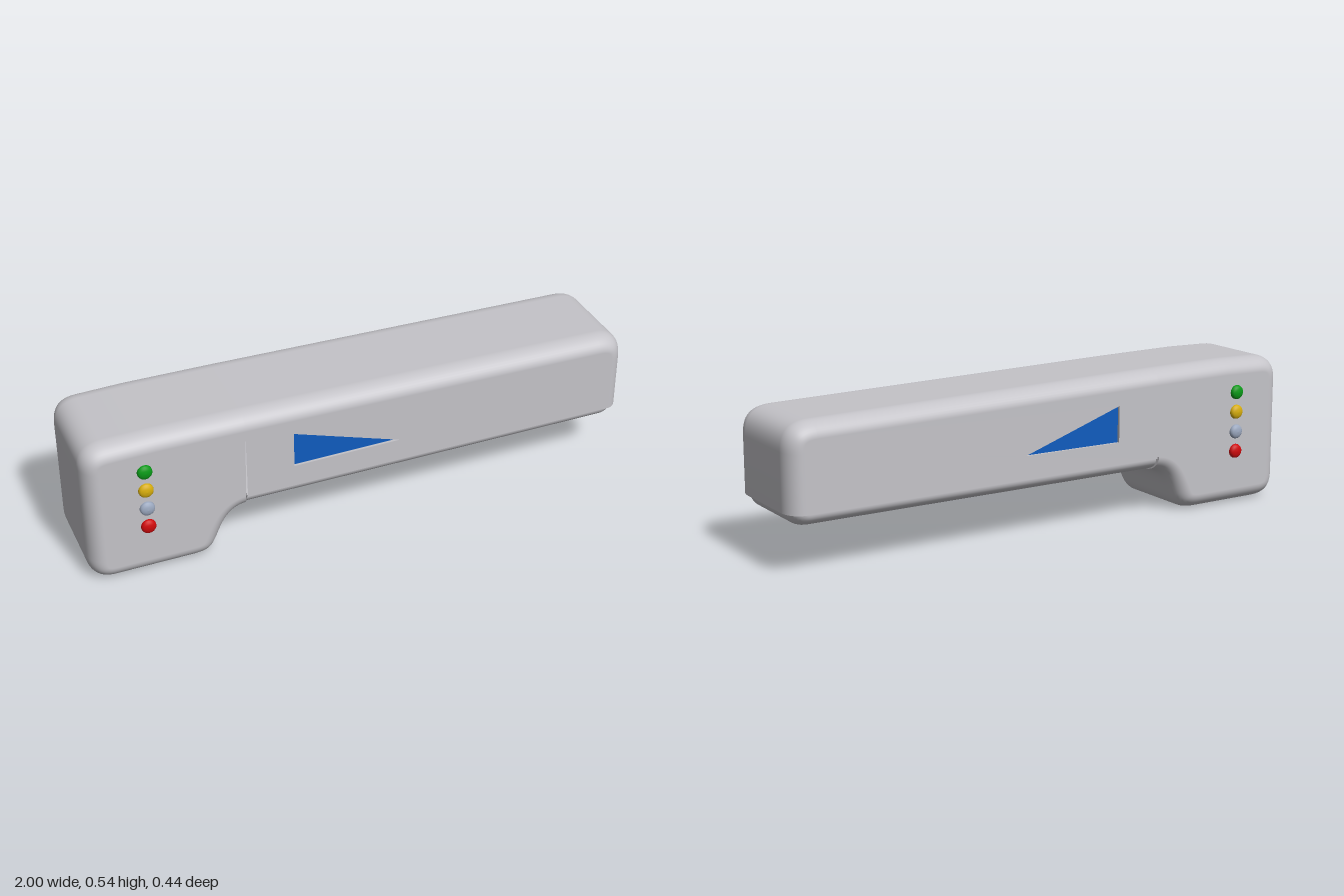
import * as THREE from 'three';

const mat = (name, color, side = THREE.FrontSide) => {
  const m = new THREE.MeshStandardMaterial({ color, side });
  m.name = name;
  return m;
};

// Offsets an open outline inwards; returns points with outward normals
function outlineNormals(points) {
  return points.map((p, i) => {
    const t = new THREE.Vector2();
    if (i > 0) t.add(p.clone().sub(points[i - 1]).normalize());
    if (i < points.length - 1) t.add(points[i + 1].clone().sub(p).normalize());
    t.normalize();
    return { p, n: new THREE.Vector2(t.y, -t.x), t };
  });
}

// Sweeps a rounded cross-section along a counter-clockwise outline, closing both ends
function sweptSkin(outline, halfZ, r, rz) {
  const pos = [], nor = [], idx = [], steps = 10, cols = 2 * steps + 2;
  const ring = ({ p, n }) => {
    const out = [];
    for (const s of [-1, 1]) for (let k = 0; k <= steps; k++) {
      const a = (s < 0 ? k - steps : k) / steps * Math.PI / 2;
      const d = r * (1 - Math.cos(a));
      const normal = new THREE.Vector3(n.x * Math.cos(a) / r, n.y * Math.cos(a) / r, Math.sin(a) / rz);
      out.push({
        v: [p.x - n.x * d, p.y - n.y * d, s * (halfZ - rz) + rz * Math.sin(a)],
        n: normal.normalize().toArray(),
      });
    }
    return out;
  };
  outline.forEach((o, i) => {
    ring(o).forEach((q) => { pos.push(...q.v); nor.push(...q.n); });
    if (i === 0) return;
    for (let j = 0; j < cols - 1; j++) {
      const a = (i - 1) * cols + j, b = i * cols + j;
      idx.push(a, b, a + 1, b, b + 1, a + 1);
    }
  });
  for (const s of [-1, 1]) {
    const o = s < 0 ? outline[0] : outline[outline.length - 1];
    const base = pos.length / 3;
    ring(o).forEach((q) => { pos.push(...q.v); nor.push(s * o.t.x, s * o.t.y, 0); });
    for (let j = 1; j < cols - 1; j++) {
      if (s < 0) idx.push(base, base + j, base + j + 1);
      else idx.push(base, base + j + 1, base + j);
    }
  }
  const g = new THREE.BufferGeometry();
  g.setAttribute('position', new THREE.Float32BufferAttribute(pos, 3));
  g.setAttribute('normal', new THREE.Float32BufferAttribute(nor, 3));
  g.setIndex(idx);
  return g;
}

// Flat face at +z or -z
function sideFace(shape, z, s) {
  const g = new THREE.ShapeGeometry(shape);
  g.translate(0, 0, z);
  if (s < 0) {
    g.scale(1, 1, -1);
    g.index.array.reverse();
  }
  return g;
}

export function createModel() {
  const model = new THREE.Group();
  const body = mat('body grey', 0xc4c3c8, THREE.DoubleSide);
  const blue = mat('window blue', 0x0f5cbf);
  const buttonMats = [
    mat('button green', 0x0a9a18), mat('button yellow', 0xd8ae0c),
    mat('button pale blue', 0x9ca9c0), mat('button red', 0xd00a0c),
  ];
  const add = (parent, name, geo, material) => {
    const m = new THREE.Mesh(geo, material);
    m.name = name;
    parent.add(m);
    return m;
  };

  const seamX = -0.44, seamY = 0.215;
  const triangle = [[-0.27, 0.428], [-0.27, 0.296], [0.12, 0.299]].map((a) => new THREE.Vector2(...a));

  // A rounded solid: swept skin plus two flat sides
  function solid(name, path, halfZ, r, rz, corner, hole) {
    const group = new THREE.Group();
    group.name = name;
    const outline = outlineNormals(path.getPoints(16));
    add(group, name + 'Skin', sweptSkin(outline, halfZ, r, rz), body);
    const pts = outline.map(({ p, n }) => p.clone().addScaledVector(n, -r));
    if (corner) pts.push(new THREE.Vector2(...corner));
    const shape = new THREE.Shape(pts);
    if (hole) shape.holes.push(new THREE.Path(hole));
    for (const s of [1, -1]) add(group, name + 'Side', sideFace(shape, halfZ, s), body);
    model.add(group);
  }

  // Deep head with the curved step up to the arm
  const head = new THREE.Path();
  head.moveTo(seamX, 0.537);
  head.lineTo(-0.75, 0.54);
  head.lineTo(-0.91, 0.536);
  head.bezierCurveTo(-0.97, 0.534, -1, 0.505, -1, 0.445);
  head.lineTo(-1, 0.09);
  head.bezierCurveTo(-1, 0.03, -0.97, 0, -0.91, 0);
  head.lineTo(-0.64, 0);
  head.bezierCurveTo(-0.58, 0, -0.56, 0.015, -0.54, 0.06);
  head.bezierCurveTo(-0.51, 0.13, -0.49, 0.16, seamX, 0.165);
  solid('head', head, 0.2, 0.055, 0.07);

  // Long arm cover with gently sloping top
  const arm = new THREE.Path();
  arm.moveTo(1, seamY);
  arm.lineTo(1, 0.415);
  arm.bezierCurveTo(1, 0.48, 0.97, 0.512, 0.9, 0.514);
  arm.lineTo(seamX, 0.537);
  solid('arm', arm, 0.2, 0.055, 0.07, [seamX, seamY], triangle);

  // Slightly inset lower tray under the arm
  const tray = new THREE.Path();
  tray.moveTo(seamX, 0.167);
  tray.lineTo(0.92, 0.167);
  tray.bezierCurveTo(0.96, 0.167, 0.98, 0.185, 0.988, seamY);
  solid('tray', tray, 0.191, 0.045, 0.07, [seamX, seamY]);

  // Ledge between cover and tray
  const ledge = add(model, 'seamLedge', new THREE.BoxGeometry(1.39, 0.003, 0.396), body);
  ledge.position.set(0.255, seamY + 0.0015, 0);

  const depth = 0.01;
  const button = new THREE.LatheGeometry([
    [0.026, -0.005], [0.026, 0.004], [0.0245, 0.009], [0.02, 0.0135], [0.011, 0.0165], [0, 0.0175],
  ].map((a) => new THREE.Vector2(...a)), 28);

  for (const s of [1, -1]) {
    // Recessed triangular window
    add(model, 'window', sideFace(new THREE.Shape(triangle), 0.2 - depth, s), blue);
    const walls = [];
    triangle.forEach((a, i) => {
      const b = triangle[(i + 1) % 3], z0 = s * (0.2 - depth), z1 = s * 0.2;
      const A = [a.x, a.y, z0], B = [b.x, b.y, z0], C = [b.x, b.y, z1], D = [a.x, a.y, z1];
      walls.push(...(s > 0 ? [A, B, C, A, C, D] : [A, C, B, A, D, C]).flat());
    });
    const wallGeo = new THREE.BufferGeometry();
    wallGeo.setAttribute('position', new THREE.Float32BufferAttribute(walls, 3));
    wallGeo.computeVertexNormals();
    add(model, 'windowRim', wallGeo, body);

    // Column of domed buttons
    buttonMats.forEach((m, i) => {
      const b = add(model, 'button', button, m);
      b.position.set(-0.793, 0.419 - i * 0.0735, s * 0.2);
      b.rotation.x = s * Math.PI / 2;
    });
  }
  return model;
}
